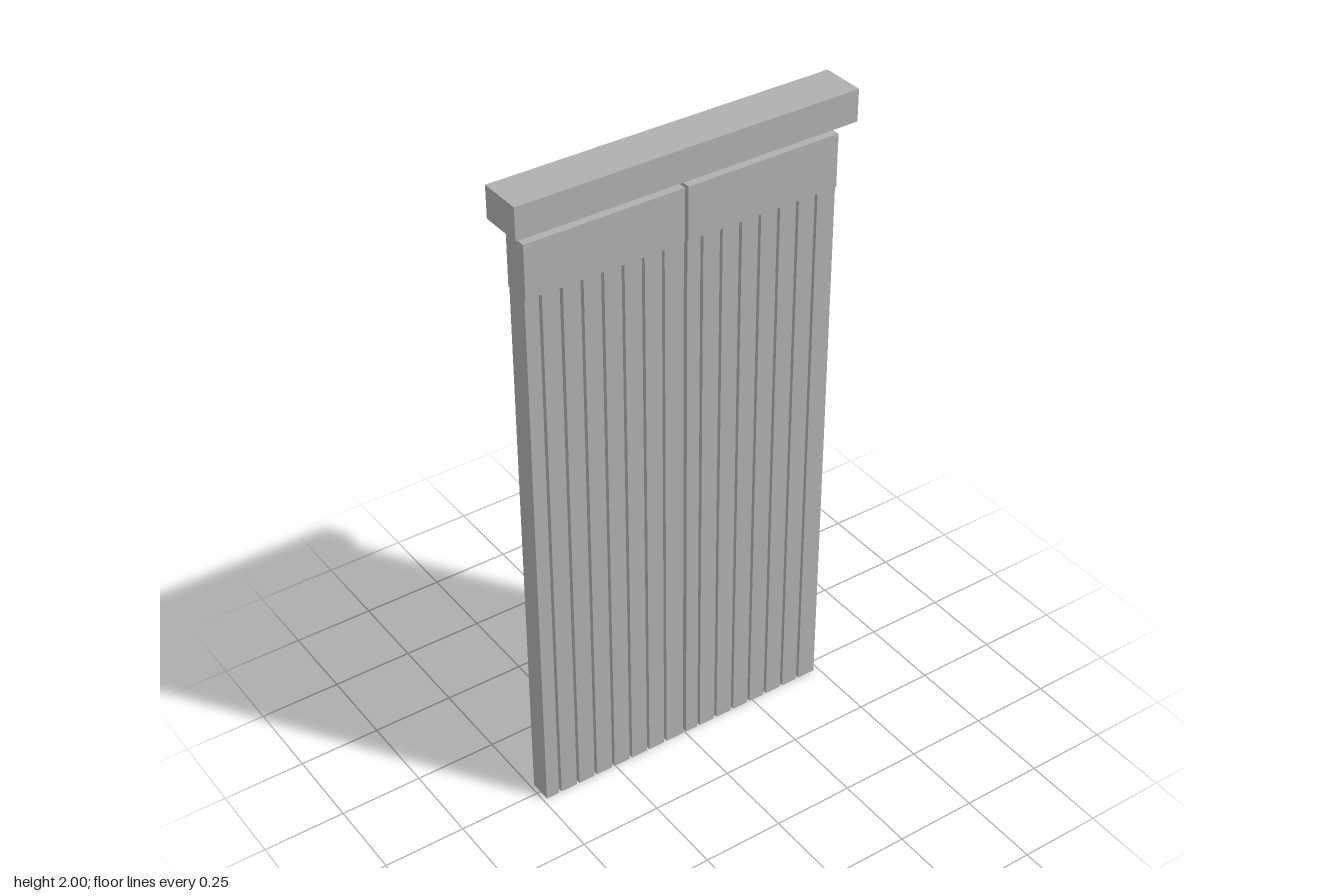
import * as THREE from 'three';

const grey = new THREE.MeshStandardMaterial({ color: 0xb0b0b0 });
grey.name = 'plain grey';

function box(name, x0, x1, y0, y1, depth) {
  const mesh = new THREE.Mesh(new THREE.BoxGeometry(x1 - x0, y1 - y0, depth), grey);
  mesh.position.set((x0 + x1) / 2, (y0 + y1) / 2, 0);
  mesh.name = name;
  return mesh;
}

// Pleated cloth: a slab with narrow grooves front and back, extruded upwards
function pleats(x0, x1, height) {
  const half = 0.035, floor = 0.015, groove = 0.009, pitch = 0.0618;
  const edge = [[x0, half]];
  for (let i = 0; i < 7; i++) {
    const c = x0 + 0.046 + i * pitch;
    const l = c - groove / 2, r = c + groove / 2;
    edge.push([l, half], [l, floor], [r, floor], [r, half]);
  }
  edge.push([x1, half]);
  const back = edge.map(([x, z]) => [x, -z]).reverse();
  const shape = new THREE.Shape([...edge, ...back].map(([x, z]) => new THREE.Vector2(x, z)));
  const geo = new THREE.ExtrudeGeometry(shape, { depth: height, bevelEnabled: false });
  geo.rotateX(-Math.PI / 2);
  const mesh = new THREE.Mesh(geo, grey);
  mesh.name = 'pleatedCloth';
  return mesh;
}

export function createModel() {
  const model = new THREE.Group();
  model.name = 'curtains';

  // Rail above the curtains
  model.add(box('curtainRail', -0.524, 0.524, 1.905, 2, 0.132));

  // Two curtains, each with a heading band over the pleats
  for (const [name, x0, x1] of [['rightCurtain', -0.488, -0.007], ['leftCurtain', 0.004, 0.484]]) {
    const curtain = new THREE.Group();
    curtain.name = name;
    curtain.add(pleats(x0, x1, 1.71));
    curtain.add(box('headingBand', x0, x1, 1.71, 1.87, 0.08));
    model.add(curtain);
  }
  return model;
}
